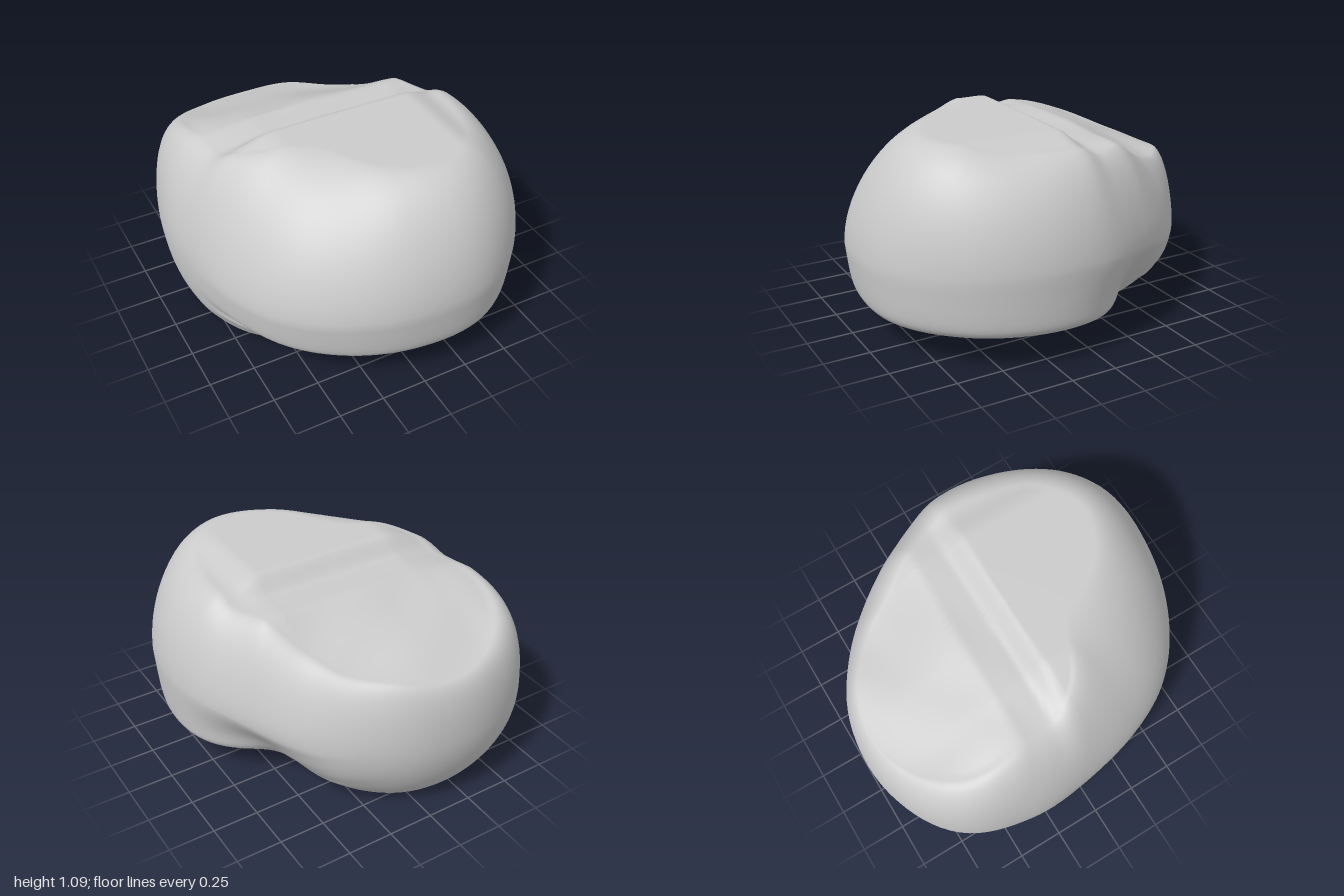
import * as THREE from 'three';

// Radii at 16 compass directions, starting at the front (+z) and turning towards +x
const GIRTH = [0.99, 1.04, 1.01, 0.95, 0.885, 0.825, 0.84, 0.89, 0.98, 1.05, 1.07, 0.965, 0.875, 0.87, 0.91, 0.945];
const PLATEAU = [0.55, 0.69, 0.69, 0.65, 0.63, 0.60, 0.62, 0.74, 0.88, 0.93, 0.87, 0.68, 0.57, 0.40, 0.33, 0.39];
const FOOT = [0.42, 0.42, 0.42, 0.37, 0.33, 0.35, 0.43, 0.61, 0.77, 0.84, 0.86, 0.83, 0.76, 0.69, 0.56, 0.46];
// How strongly the underside is cut back into a shelf, and how flat the shoulder is
const SHELF = [1, 1, 1, 1, 1, 1, 0.7, 0.12, 0, 0, 0, 0, 0, 0.5, 0.9, 1];
const FLATNESS = [1.15, 1.1, 1.1, 1.12, 1.15, 1.25, 1.25, 1.1, 1, 0.95, 0.9, 1.05, 1.2, 1.25, 1.2, 1.2];

const SEGMENTS = 128;
const { smoothstep, lerp, clamp } = THREE.MathUtils;

// Smooth periodic interpolation of a 16-entry table
function around(table, theta) {
  const n = table.length;
  const s = (theta / (Math.PI * 2)) * n;
  const i = Math.floor(s), t = s - i;
  const [a, b, c, d] = [-1, 0, 1, 2].map(k => table[(i + k + n) % n]);
  return b + 0.5 * t * (c - a + t * (2 * a - 5 * b + 4 * c - d + t * (3 * (b - c) + d - a)));
}

// Height of the worn top: a raised front, one ledge, then a slope to the back
function topHeight(x, z) {
  const behind = 1 - smoothstep(z, -0.12, 0.01);
  const slope = 0.4 * clamp(-z - 0.29, 0, 1);
  const tilt = 0.05 * smoothstep(x, -0.1, 0.4) * smoothstep(-z, 0.25, 0.5) * (1 - smoothstep(-z, 0.6, 0.9));
  const left = 0.09 * smoothstep(-x, 0.35, 0.68) * smoothstep(z, -0.7, -0.1) * (1 - 0.25 * behind);
  const right = 0.045 * smoothstep(x, 0.42, 0.6) * (1 - 0.4 * behind);
  const ledge = behind * lerp(0.085, 0.07, smoothstep(Math.abs(x), 0.4, 0.6));
  const ripples = 0.008 * Math.sin(13 * z + 4 * x) * Math.sin(5 * x + 1) * smoothstep(-z, 0.1, 0.35);
  return 1.09 - ledge - slope - tilt - left - right + ripples;
}

// Vertical section [radius, y] from the bottom centre, round the side, to the top centre
function section(theta) {
  const girth = around(GIRTH, theta), rim = around(PLATEAU, theta), foot = around(FOOT, theta);
  const shelf = clamp(around(SHELF, theta), 0, 1), flat = around(FLATNESS, theta);
  const sx = Math.sin(theta), cz = Math.cos(theta);
  const waist = 0.45 + 0.06 * sx - 0.08 * Math.exp(-(((theta - 2.45) / 0.5) ** 2));
  const points = [];

  // Flat base
  for (let i = 0; i < 6; i++) points.push([foot * i / 6, 0]);

  // Lower side: rounded where there is no shelf, stepped where there is
  const edge = girth * (0.935 - 0.14 * Math.exp(-(((theta - 2.25) / 0.35) ** 2)));
  const riser = Math.min(0.13, 0.6 * (edge - foot));
  const ceiling = 0.175 - 0.035 * smoothstep(Math.cos(theta + 0.35), 0.75, 0.97);
  const step = new THREE.SplineCurve([
    [foot, 0], [foot + riser * 0.3, 0.03], [foot + riser * 0.7, 0.11], [foot + riser, ceiling - 0.01],
    [lerp(foot + riser, edge, 0.6), ceiling], [edge - 0.03, 0.182], [edge + 0.02, 0.205],
    [lerp(edge, girth, 0.7), 0.28], [girth, waist],
  ].map(p => new THREE.Vector2(...p)));
  const taper = 1 + 0.4 * Math.max(-cz, 0);
  for (let i = 0; i <= 32; i++) {
    const a = (i / 32) * Math.PI / 2, p = step.getPoint(i / 32);
    points.push([
      lerp(foot + (girth - foot) * Math.pow(Math.sin(a), taper), p.x, shelf),
      lerp(waist * (1 - Math.cos(a)), p.y, shelf),
    ]);
  }

  // Upper side and shoulder
  const rimY = topHeight(rim * sx, rim * cz);
  for (let i = 1; i <= 20; i++) {
    const a = (1 - i / 20) * Math.PI / 2;
    points.push([
      rim + (girth - rim) * Math.pow(Math.sin(a), flat),
      waist + (rimY - waist) * Math.pow(Math.max(Math.cos(a), 0), flat),
    ]);
  }

  // Worn top
  for (let i = 1; i <= 32; i++) {
    const r = rim * (1 - i / 32);
    points.push([r, topHeight(r * sx, r * cz)]);
  }

  // Hollow in the side above the end of the shelf
  return points.map(([r, y]) => {
    const d = Math.exp(-(((theta - 2.05) / 0.35) ** 2) - ((y - 0.28) / 0.13) ** 2);
    return [r - 0.09 * d * smoothstep(r, 0.5, 0.72), y];
  });
}

function boulderGeometry() {
  const sections = [];
  for (let j = 0; j < SEGMENTS; j++) sections.push(section((j / SEGMENTS) * Math.PI * 2));
  const rings = sections[0].length;
  const positions = [], index = [];

  // Inner rings only; the two poles are single vertices
  for (let i = 1; i < rings - 1; i++) {
    for (let j = 0; j < SEGMENTS; j++) {
      const theta = (j / SEGMENTS) * Math.PI * 2, [r, y] = sections[j][i];
      positions.push(r * Math.sin(theta), y, r * Math.cos(theta));
    }
  }
  const bottom = positions.length / 3, top = bottom + 1;
  positions.push(0, 0, 0, 0, topHeight(0, 0), 0);

  const last = (rings - 3) * SEGMENTS;
  for (let j = 0; j < SEGMENTS; j++) {
    const k = (j + 1) % SEGMENTS;
    index.push(bottom, k, j, last + j, last + k, top);
    for (let i = 0; i < rings - 3; i++) {
      const a = i * SEGMENTS + j, b = i * SEGMENTS + k;
      index.push(a, b, a + SEGMENTS, b, b + SEGMENTS, a + SEGMENTS);
    }
  }

  const geometry = new THREE.BufferGeometry();
  geometry.setAttribute('position', new THREE.Float32BufferAttribute(positions, 3));
  geometry.setIndex(index);
  geometry.computeVertexNormals();
  return geometry;
}

export function createModel() {
  const group = new THREE.Group();
  group.name = 'rock';
  const boulder = new THREE.Mesh(boulderGeometry(), new THREE.MeshStandardMaterial({ color: 0xcccccc, roughness: 0.9 }));
  boulder.name = 'boulder';
  group.add(boulder);
  return group;
}
